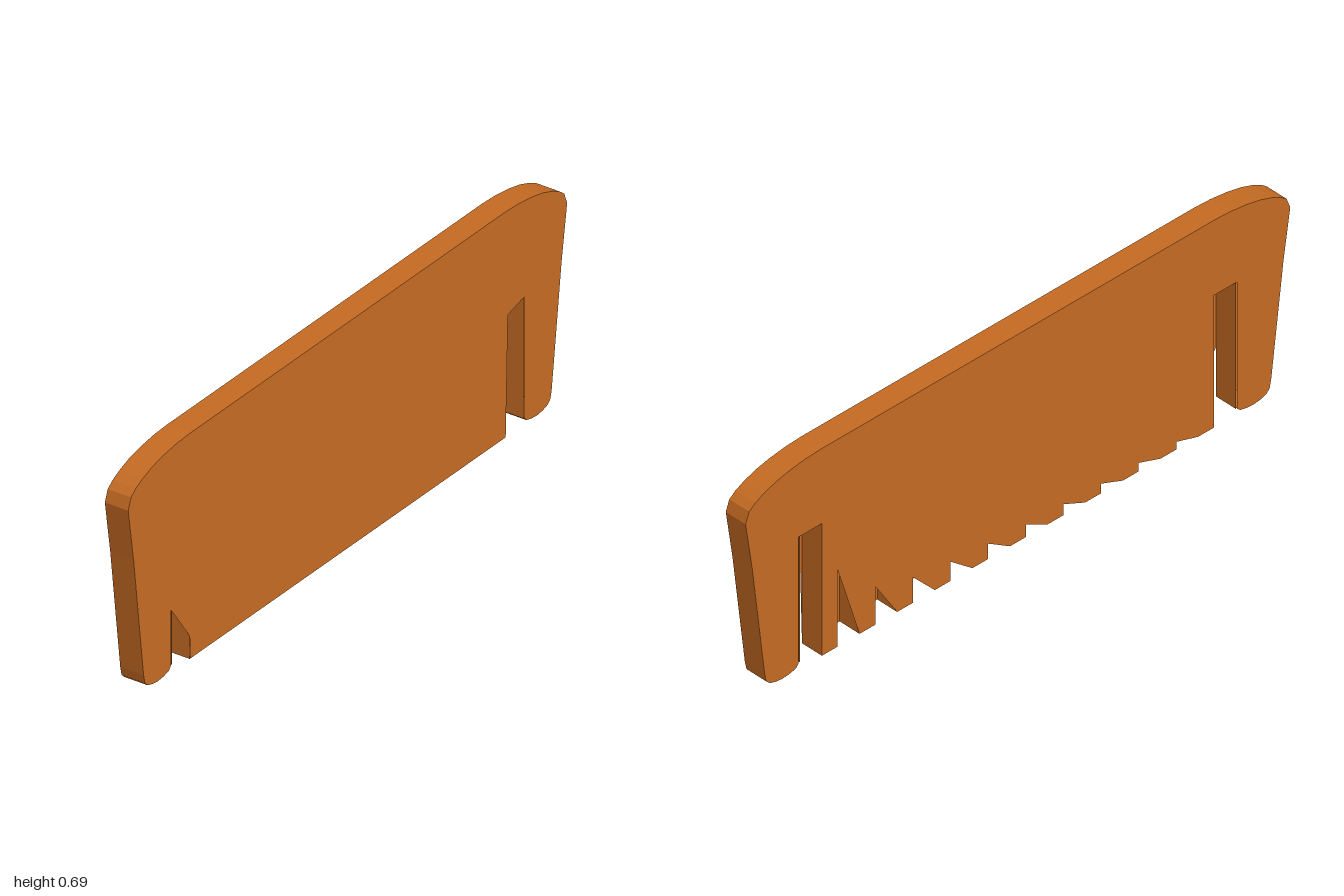
import * as THREE from 'three';

const HALF = 0.038;               // half thickness
const GAP = 0.08, PITCH = 1.52 / 11, ARCH = 0.44;
const gapStart = i => -0.8 + i * PITCH;

const material = new THREE.MeshStandardMaterial({ color: 0xc46a22, side: THREE.DoubleSide, flatShading: true });

// Flat side plate from a (z, y) outline
function plate(points, x, name) {
  const shape = new THREE.Shape(points.map(p => new THREE.Vector2(...p)));
  const geo = new THREE.ShapeGeometry(shape).rotateY(-Math.PI / 2);
  if (x > 0) {
    // turn the plate to face +x
    const idx = geo.index.array;
    for (let i = 0; i < idx.length; i += 3) [idx[i], idx[i + 1]] = [idx[i + 1], idx[i]];
    geo.computeVertexNormals();
  }
  const mesh = new THREE.Mesh(geo.translate(x, 0, 0), material);
  mesh.name = name;
  return mesh;
}

// Band across the thickness following a (z, y) path
function band(path, name) {
  const pos = [], idx = [];
  path.forEach(([z, y], i) => {
    pos.push(-HALF, y, z, HALF, y, z);
    const a = 2 * i;
    if (i < path.length - 1) idx.push(a, a + 2, a + 1, a + 1, a + 2, a + 3);
  });
  const geo = new THREE.BufferGeometry();
  geo.setAttribute('position', new THREE.Float32BufferAttribute(pos, 3));
  geo.setIndex(idx);
  geo.computeVertexNormals();
  const mesh = new THREE.Mesh(geo, material);
  mesh.name = name;
  return mesh;
}

export function createModel() {
  const comb = new THREE.Group();
  comb.name = 'comb';

  // Outer rim: guard tooth, flared end and rounded back, mirrored
  const half = [
    [0.805, 0.02], [0.815, 0.008], [0.84, 0.002], [0.865, 0], [0.89, 0.003], [0.912, 0.01],
    [0.924, 0.022], [0.93, 0.05], [0.952, 0.23], [0.975, 0.42], [1, 0.585],
    [0.987, 0.62], [0.965, 0.637], [0.935, 0.652], [0.89, 0.668], [0.84, 0.679], [0.78, 0.687], [0.72, 0.69],
  ];
  const rim = [...half, ...half.map(([z, y]) => [-z, y]).reverse()];
  comb.add(band(rim, 'outerRim'));

  // Right plate: end slots only, notched at the bottom of each tooth on the other
  const sawtooth = [];
  for (let i = 1; i <= 10; i++) {
    const z = gapStart(i);
    sawtooth.push([z, 0], [z, ARCH * GAP / (z + GAP + 0.72)], [z + GAP, 0]);
  }
  comb.add(plate([...rim, [-0.805, ARCH], [-0.72, ARCH], [-0.72, 0], ...sawtooth,
    [0.72, 0], [0.72, ARCH], [0.805, ARCH]], -HALF, 'notchedSide'));

  // Left plate: closed over the inner gaps
  comb.add(plate([...rim, [-0.805, 0.39], [-0.73, 0.37], [-0.72, 0],
    [0.715, 0], [0.72, 0.07], [0.805, 0.19]], HALF, 'closedSide'));

  // Gap walls with arched tops, and the tooth tips between them
  for (let i = 0; i <= 11; i++) {
    const z = gapStart(i), end = i === 0 || i === 11;
    const path = [[z, i === 0 ? 0.02 : 0]];
    for (let k = 0; k <= 6; k++) {
      const a = Math.PI * (1 - k / 6);
      path.push([z + GAP / 2 * (1 + Math.cos(a)), ARCH + 0.04 * Math.sin(a)]);
    }
    path.push([z + GAP, i === 11 ? 0.02 : 0]);
    comb.add(band(path, end ? 'endGapWall' : 'gapWall'));
    if (i < 11) comb.add(band([[z + GAP, 0], [gapStart(i + 1), 0]], 'toothTip'));
  }
  return comb;
}
